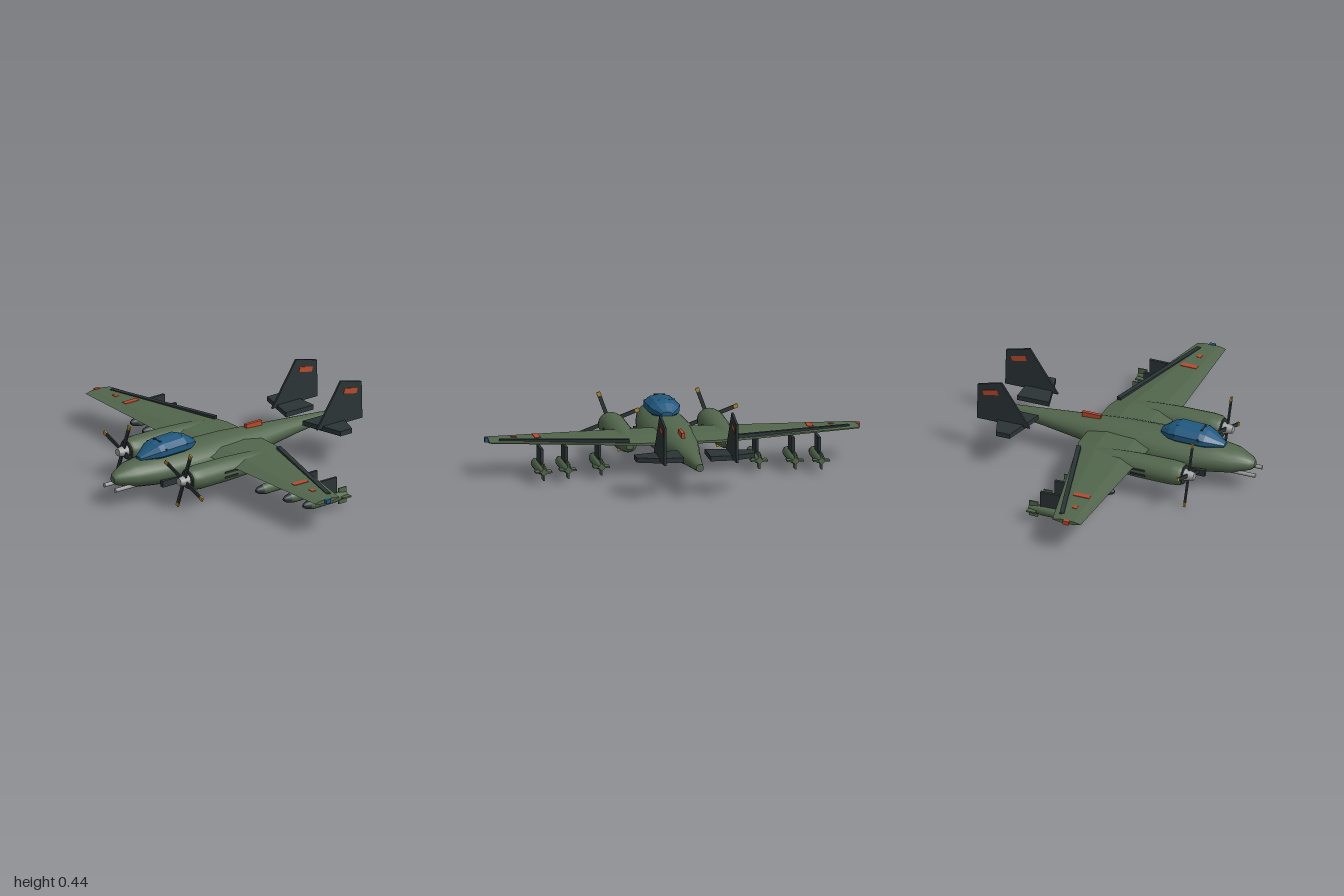
import * as THREE from 'three';

const mat = (name, color) => Object.assign(new THREE.MeshStandardMaterial({ color }), { name });

// Closed skin over rings listed from + to - along their axis (points counter-clockwise seen from +)
function skin(rings, flat = false) {
  const n = rings[0].length, pos = [], idx = [];
  const add = (ring) => ring.forEach((p) => pos.push(...p));
  rings.forEach(add);
  for (let i = 0; i < rings.length - 1; i++) {
    for (let j = 0; j < n; j++) {
      const k = (j + 1) % n, a = i * n + j, b = a + n, c = i * n + k, d = c + n;
      idx.push(a, b, c, c, b, d);
    }
  }
  // End caps with their own vertices so the rims stay crisp
  [rings[0], rings[rings.length - 1]].forEach((ring, end) => {
    const base = pos.length / 3;
    add(ring);
    for (let j = 1; j < n - 1; j++) {
      idx.push(base, base + (end ? j + 1 : j), base + (end ? j : j + 1));
    }
  });
  let g = new THREE.BufferGeometry();
  g.setAttribute('position', new THREE.Float32BufferAttribute(pos, 3));
  g.setIndex(idx);
  if (flat) g = g.toNonIndexed();
  g.computeVertexNormals();
  return g;
}

// Elliptical body from [z, centreY, halfWidth, halfHeight] stations
function body(stations, sides, flat) {
  return skin(stations.map(([z, y, rx, ry]) => Array.from({ length: sides }, (_, j) => {
    const a = (j + 0.5) / sides * Math.PI * 2;
    return [rx * Math.cos(a), y + ry * Math.sin(a), z];
  })), flat);
}

const shape = (pts) => new THREE.Shape(pts.map(([x, y]) => new THREE.Vector2(x, y)));

export function createModel() {
  const green = mat('olive green', 0x52664c);
  const dark = mat('dark slate', 0x2b3436);
  const blue = mat('canopy blue', 0x20597f);
  const red = mat('marking red', 0xb94a2c);
  const yellow = mat('tip yellow', 0xb58a2e);
  const silver = mat('bare metal', 0x9b9e9e);

  const model = new THREE.Group();
  model.name = 'twinEngineAircraft';
  const put = (name, geo, m, x = 0, y = 0, z = 0, parent = model) => {
    const mesh = new THREE.Mesh(geo, m);
    mesh.name = name;
    mesh.position.set(x, y, z);
    parent.add(mesh);
    return mesh;
  };
  const box = (name, w, h, d, m, x, y, z, parent) => put(name, new THREE.BoxGeometry(w, h, d), m, x, y, z, parent);

  // Fuselage
  put('fuselage', body([
    [0.74, 0.162, 0.018, 0.016], [0.72, 0.163, 0.04, 0.035], [0.63, 0.165, 0.088, 0.066],
    [0.5, 0.163, 0.117, 0.08], [0.4, 0.162, 0.131, 0.085], [0.2, 0.163, 0.137, 0.088],
    [0, 0.165, 0.122, 0.085], [-0.2, 0.17, 0.093, 0.067], [-0.45, 0.178, 0.054, 0.044],
    [-0.72, 0.182, 0.02, 0.021],
  ], 20), green);
  box('spineBeacon', 0.018, 0.03, 0.105, red, 0, 0.246, -0.19);

  // Canopy
  put('canopy', body([
    [0.57, 0.24, 0.022, 0.012], [0.475, 0.263, 0.082, 0.045], [0.445, 0.267, 0.088, 0.05],
    [0.31, 0.27, 0.088, 0.052], [0.27, 0.265, 0.075, 0.043], [0.215, 0.255, 0.03, 0.017],
  ], 10, true), blue);
  for (const z of [0.445, 0.31]) {
    box('canopyFrameTop', 0.06, 0.012, 0.01, dark, 0, 0.311, z);
    box('canopyFrameSide', 0.168, 0.014, 0.01, dark, 0, 0.28, z);
  }

  // Wing with a straight centre section and swept trailing edge
  const wingRing = (x, lead, trail, top, bottom) => {
    const c = lead - trail, mid = (top + bottom) / 2, t = (top - bottom) / 2;
    return [[x, top, trail + 0.3 * c], [x, top, trail + 0.75 * c], [x, mid, lead],
      [x, bottom, trail + 0.75 * c], [x, bottom, trail + 0.3 * c],
      [x, mid - 0.25 * t, trail], [x, mid + 0.25 * t, trail]];
  };
  put('wing', skin([
    wingRing(0.985, 0.16, 0, 0.203, 0.184), wingRing(0.2, 0.188, -0.178, 0.22, 0.168),
    wingRing(-0.2, 0.188, -0.178, 0.22, 0.168), wingRing(-0.985, 0.16, 0, 0.203, 0.184),
  ], true), green);

  for (const s of [1, -1]) {
    // Wing details
    const flap = box('aileronStrip', 0.685, 0.018, 0.024, dark, s * 0.6, 0.205, -0.06);
    flap.rotation.order = 'YZX';
    flap.rotation.y = -s * Math.atan2(0.18, 0.66);
    flap.rotation.z = -s * 0.016;
    box('wingMarking', 0.032, 0.009, 0.09, red, s * 0.727, 0.207, 0.06);
    box('wingSpot', 0.03, 0.009, 0.025, red, s * 0.845, 0.204, 0.07);
    box('tipLight', 0.02, 0.022, 0.032, s > 0 ? blue : red, s * 0.99, 0.194, 0.08);

    // Nose guns and lower side fairings
    const gun = put('noseGun', new THREE.CylinderGeometry(0.011, 0.011, 0.18, 10), silver, s * 0.047, 0.12, 0.67);
    gun.rotation.x = Math.PI / 2;
    box('sideFairing', 0.022, 0.035, 0.3, dark, s * 0.118, 0.118, 0.355);

    // Engine nacelle
    const engine = new THREE.Group();
    engine.name = s > 0 ? 'leftEngine' : 'rightEngine';
    engine.position.set(s * 0.263, 0.174, 0);
    model.add(engine);
    put('nacelle', body([
      [0.445, 0, 0.056, 0.052], [0.43, 0, 0.066, 0.06], [0.38, 0, 0.073, 0.064],
      [0.2, 0, 0.071, 0.063], [0.05, 0, 0.062, 0.056], [-0.07, 0, 0.049, 0.044],
      [-0.11, 0, 0.038, 0.034], [-0.13, 0, 0.018, 0.016],
    ], 18), green, 0, 0, 0, engine);
    const intake = put('intake', new THREE.CylinderGeometry(0.05, 0.05, 0.01, 18), dark, 0, 0, 0.445, engine);
    intake.rotation.x = Math.PI / 2;
    for (const side of [1, -1]) {
      for (const y of [0.012, -0.014]) {
        box('exhaust', 0.014, 0.01, 0.085, dark, side * 0.067, y, 0.21, engine);
      }
    }

    // Propeller
    const prop = new THREE.Group();
    prop.name = 'propeller';
    prop.position.z = 0.47;
    engine.add(prop);
    const hub = put('spinner', new THREE.CylinderGeometry(0.02, 0.033, 0.055, 12), silver, 0, 0, 0.007, prop);
    hub.rotation.x = Math.PI / 2;
    for (let i = 0; i < 4; i++) {
      const blade = new THREE.Group();
      blade.name = 'blade';
      blade.rotation.z = -0.35 + i * Math.PI / 2;
      prop.add(blade);
      box('bladeArm', 0.02, 0.13, 0.008, dark, 0, 0.085, 0, blade);
      box('bladeTip', 0.021, 0.022, 0.009, yellow, 0, 0.159, 0, blade);
    }

    // Tail fin, its marking and the tailplane
    const fin = new THREE.ExtrudeGeometry(
      shape([[0.46, 0.21], [0.76, 0.21], [0.755, 0.415], [0.62, 0.45]]), { depth: 0.012, bevelEnabled: false });
    put('tailFin', fin.rotateY(Math.PI / 2), dark, s * 0.192 - 0.006);
    const patch = new THREE.ExtrudeGeometry(
      shape([[0.635, 0.375], [0.643, 0.403], [0.727, 0.385], [0.72, 0.358]]), { depth: 0.002, bevelEnabled: false });
    patch.rotateY(Math.PI / 2);
    put('finMarkingOuter', patch, red, s * 0.192 + 0.006);
    put('finMarkingInner', patch, red, s * 0.192 - 0.008);
    const plane = new THREE.ExtrudeGeometry(
      shape([[0.072, -0.462], [0.315, -0.525], [0.315, -0.602], [0.195, -0.645], [0.072, -0.645]].map(([x, z]) => [s * x, z])),
      { depth: 0.026, bevelEnabled: false });
    put('tailplane', plane.rotateX(Math.PI / 2), dark, 0, 0.224);

    // Underwing bombs on pylons
    for (const [x, tail] of [[0.42, -0.17], [0.605, -0.21], [0.74, -0.235]]) {
      const bomb = new THREE.Group();
      bomb.name = 'bomb';
      bomb.position.set(s * x, 0.078, tail);
      model.add(bomb);
      put('bombBody', body([
        [0.245, 0, 0.025, 0.025], [0.22, 0, 0.029, 0.029], [0.08, 0, 0.028, 0.028], [0, 0, 0.016, 0.016],
      ], 12), green, 0, 0, 0, bomb);
      put('bombNose', body([
        [0.285, 0, 0.008, 0.008], [0.27, 0, 0.018, 0.018], [0.245, 0, 0.025, 0.025],
      ], 12), dark, 0, 0, 0, bomb);
      box('bombFinFlat', 0.088, 0.008, 0.05, green, 0, 0, 0.025, bomb);
      box('bombFinUpright', 0.008, 0.088, 0.05, green, 0, 0, 0.025, bomb);
      box('pylon', 0.015, 0.09, 0.11, dark, 0, 0.068, 0.12, bomb);
    }
  }
  return model;
}
